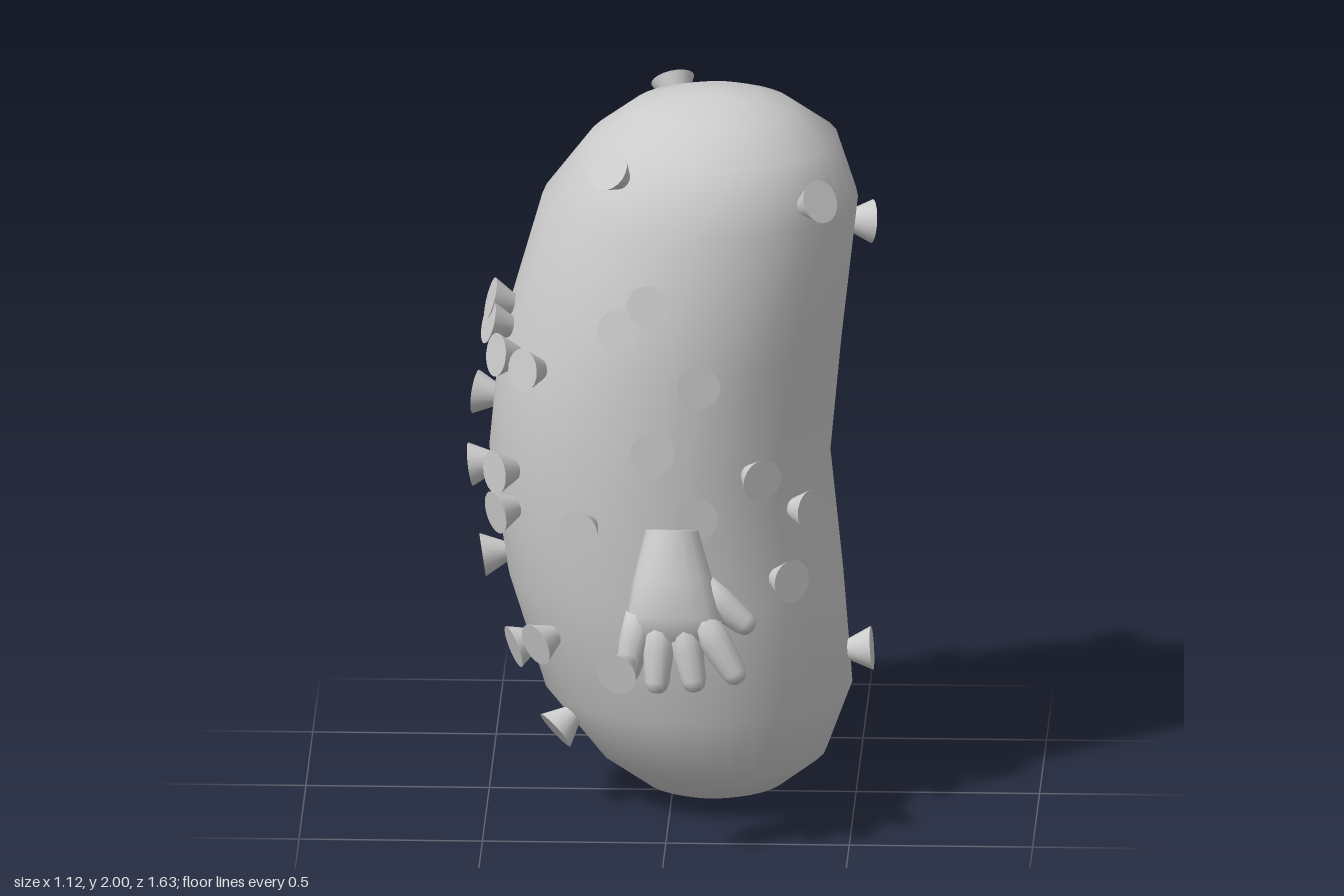
import * as THREE from 'three';

const mat = new THREE.MeshStandardMaterial({ color: 0xcccccc, roughness: 0.8 });
const V = (x, y, z) => new THREE.Vector3(x, y, z);

// Body outline: y, left x, right x, half depth
const PROFILE = [
  [0.005, 0.1, 0.14, 0.02], [0.01, 0.0, 0.22, 0.1], [0.045, -0.08, 0.31, 0.21], [0.13, -0.2, 0.42, 0.32],
  [0.32, -0.35, 0.49, 0.425], [0.64, -0.45, 0.465, 0.457], [0.98, -0.5, 0.43, 0.467],
  [1.3, -0.47, 0.46, 0.465], [1.7, -0.355, 0.505, 0.437], [1.87, -0.225, 0.45, 0.33],
  [1.955, -0.11, 0.33, 0.22], [1.99, 0.0, 0.24, 0.11], [2.0, 0.1, 0.15, 0.02],
];

// Skin over elliptical rings [cx, cy, cz, a, b, tilt], listed bottom to top; side -1 mirrors z
function loft(rings, seg, side = 1) {
  const pos = [], idx = [];
  for (const [cx, cy, cz, a, b, tilt = 0] of rings) {
    for (let j = 0; j < seg; j++) {
      const t = (j / seg) * Math.PI * 2, w = b * Math.sin(t);
      pos.push(cx + a * Math.cos(t), cy + w * Math.sin(tilt), side * (cz + w * Math.cos(tilt)));
    }
  }
  for (let i = 0; i < rings.length - 1; i++) {
    for (let j = 0; j < seg; j++) {
      const k = (j + 1) % seg;
      const p = i * seg + j, q = i * seg + k, r = p + seg, s = q + seg;
      if (side > 0) idx.push(p, r, q, r, s, q);
      else idx.push(p, q, r, r, q, s);
    }
  }
  const g = new THREE.BufferGeometry();
  g.setAttribute('position', new THREE.Float32BufferAttribute(pos, 3));
  g.setIndex(idx);
  g.computeVertexNormals();
  return g;
}

// Ellipse of the body at height y
function section(y) {
  let i = 0;
  while (i < PROFILE.length - 2 && PROFILE[i + 1][0] < y) i++;
  const A = PROFILE[i], B = PROFILE[i + 1];
  const f = THREE.MathUtils.clamp((y - A[0]) / (B[0] - A[0]), 0, 1);
  const [l, r, b] = [1, 2, 3].map((k) => A[k] + (B[k] - A[k]) * f);
  return { cx: (l + r) / 2, a: (r - l) / 2, b };
}

function bodyPoint(t, y) {
  const s = section(y);
  return V(s.cx + s.a * Math.cos(t), y, s.b * Math.sin(t));
}

const UP = V(0, 1, 0);
const STUD = 0.07;
const studGeo = new THREE.CylinderGeometry(0.06, 0.026, STUD, 20);

function addStud(parent, base, normal, name) {
  const m = new THREE.Mesh(studGeo, mat);
  m.name = name;
  m.position.copy(base).addScaledVector(normal, STUD / 2 - 0.008);
  m.quaternion.setFromUnitVectors(UP, normal);
  parent.add(m);
}

// Stud whose outer disc is near (x, y, z), standing square to the body surface
function addBodyStud(parent, [x, y, z]) {
  let sy = y, n;
  const s = section(y), t = Math.atan2(z / s.b, (x - s.cx) / s.a);
  for (let k = 0; k < 3; k++) {
    const dy = bodyPoint(t, sy + 0.03).sub(bodyPoint(t, sy - 0.03));
    const dt = bodyPoint(t + 0.02, sy).sub(bodyPoint(t - 0.02, sy));
    n = dy.cross(dt).normalize();
    sy = THREE.MathUtils.clamp(y - n.y * 0.06, 0.04, 1.96);
  }
  addStud(parent, bodyPoint(t, sy), n, 'bodyStud');
}

const BODY_STUDS = [
  // front
  [-0.165, 1.86, 0.32], [0.41, 1.78, 0.31], [-0.045, 1.53, 0.5], [-0.13, 1.455, 0.5],
  [0.09, 1.305, 0.52], [-0.035, 1.12, 0.52], [0.26, 1.02, 0.44], [-0.235, 0.88, 0.47],
  [0.39, 0.9, 0.32], [0.34, 0.72, 0.395], [0.08, 0.93, 0.5],
  // right-hand side
  [0.52, 1.59, -0.125], [0.52, 0.42, 0.02],
  // back
  [-0.02, 1.92, -0.36], [0.14, 1.72, -0.45], [0.34, 1.41, -0.37], [-0.29, 1.62, -0.34],
  [-0.13, 1.1, -0.49], [0.01, 1.0, -0.5], [-0.03, 0.9, -0.5], [0.3, 0.33, -0.375], [0.2, 0.12, -0.33],
  // bulging side
  [-0.49, 1.42, 0.08], [-0.49, 1.37, 0.13], [-0.43, 1.31, 0.22], [-0.37, 1.3, 0.33],
  [-0.52, 1.1, -0.1], [-0.445, 0.99, 0.27], [-0.53, 0.915, -0.03], [-0.44, 0.87, 0.25],
  [-0.5, 0.68, 0.04], [-0.36, 0.51, 0.32], [-0.41, 0.46, 0.17], [-0.29, 0.23, 0.19],
];

// Digits: base xyz, tip xyz
const DIGITS = [
  [-0.06, 0.72, 0.68, -0.095, 0.555, 0.705],
  [-0.01, 0.7, 0.69, -0.015, 0.53, 0.725],
  [0.05, 0.7, 0.69, 0.085, 0.535, 0.725],
  [0.1, 0.71, 0.69, 0.195, 0.555, 0.715],
  [0.1, 0.78, 0.645, 0.22, 0.68, 0.655],
];

function makeHand(side) {
  const hand = new THREE.Group();
  hand.name = side > 0 ? 'frontHand' : 'backHand';
  const wrist = [0.02, 0.925, 0.595, 0.072, 0.088, 0.29];
  const palm = new THREE.Mesh(loft([
    [0.035, 0.63, 0.7, 0, 0, 0.29], [0.035, 0.64, 0.7, 0.1, 0.035, 0.29],
    [0.03, 0.7, 0.685, 0.132, 0.066, 0.29], [0.025, 0.8, 0.647, 0.108, 0.083, 0.29],
    wrist, wrist, [0.02, 0.925, 0.595, 0, 0, 0],
  ], 16, side), mat);
  palm.name = 'palm';
  hand.add(palm);
  // Tapered digits with rounded tips
  for (const [x, y, z, u, v, w] of DIGITS) {
    const a = V(x, y, z * side), b = V(u, v, w * side), len = a.distanceTo(b);
    const outline = [[0, 0], [0.042, 0.01], [0.043, len * 0.5], [0.034, len],
      [0.026, len + 0.02], [0.013, len + 0.029], [0, len + 0.031]];
    const digit = new THREE.Mesh(
      new THREE.LatheGeometry(outline.map((p) => new THREE.Vector2(...p)), 12), mat);
    digit.name = 'digit';
    digit.position.copy(a);
    digit.quaternion.setFromUnitVectors(UP, b.sub(a).normalize());
    hand.add(digit);
  }
  return hand;
}

export function createModel() {
  const model = new THREE.Group();
  model.name = 'studdedBean';

  // Bean-shaped body
  const rings = PROFILE.map(([y, l, r, b]) => [(l + r) / 2, y, 0, (r - l) / 2, b]);
  rings.unshift([0.12, 0.004, 0, 0, 0]);
  rings.push([0.125, 2, 0, 0, 0]);
  const body = new THREE.Mesh(loft(rings, 32), mat);
  body.name = 'body';
  model.add(body);

  // Flared studs over the body
  const studs = new THREE.Group();
  studs.name = 'bodyStuds';
  for (const s of BODY_STUDS) addBodyStud(studs, s);
  model.add(studs);

  // Hands with their own studs
  const front = makeHand(1), back = makeHand(-1);
  addStud(front, V(-0.1, 0.585, 0.735), V(-0.4, -0.2, 0.9).normalize(), 'handStud');
  addStud(back, V(0.03, 0.68, -0.75), V(0, 0.1, -1).normalize(), 'handStud');
  addStud(back, V(-0.05, 0.89, -0.62), V(-0.9, 0.35, 0.1).normalize(), 'handStud');
  model.add(front, back);
  return model;
}
